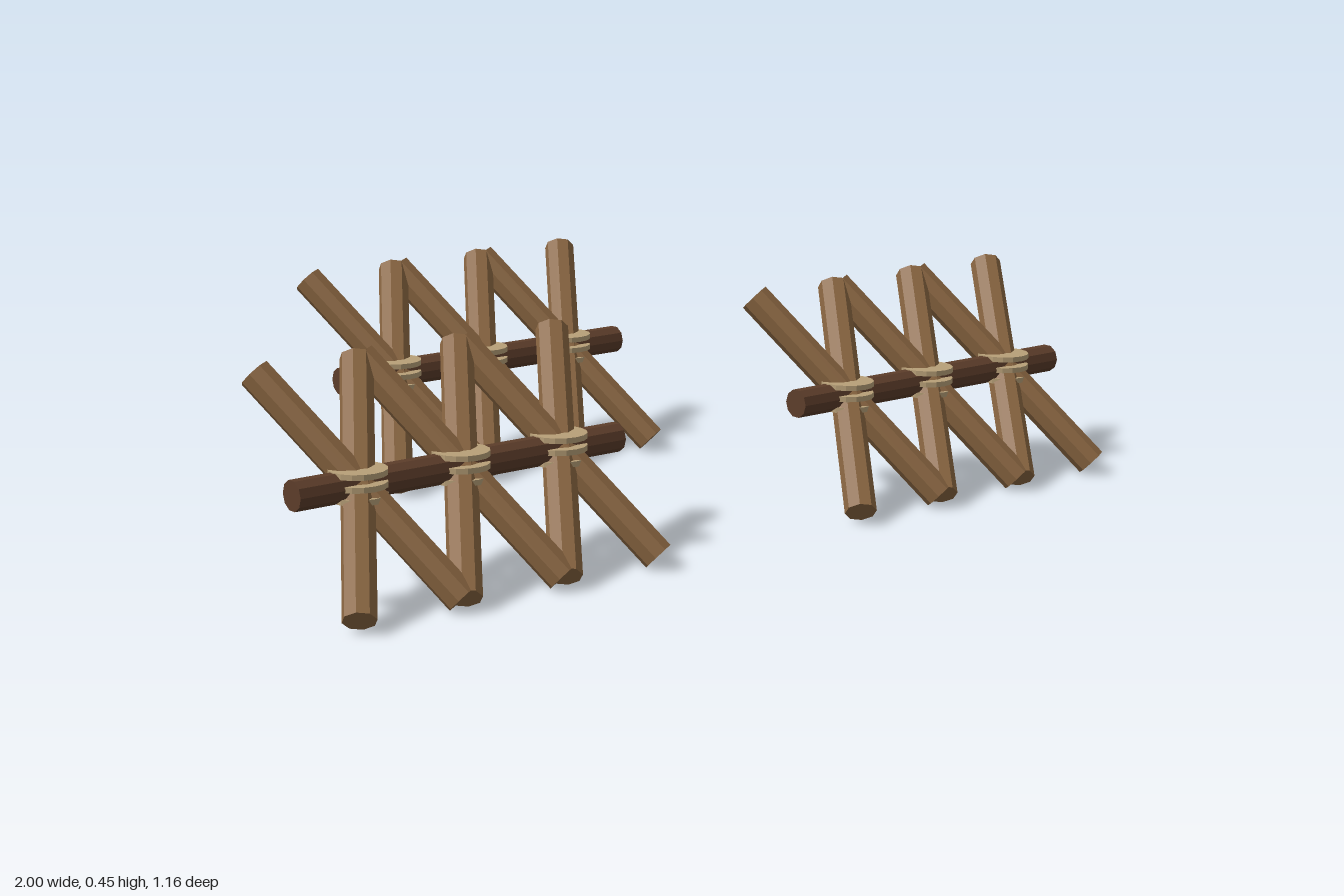
import * as THREE from 'three';

const wood = new THREE.MeshStandardMaterial({ color: 0x8b6742, flatShading: true });
const darkWood = new THREE.MeshStandardMaterial({ color: 0x5c3d2a, flatShading: true });
const rope = new THREE.MeshStandardMaterial({ color: 0xb8a078, flatShading: true });
const UP = new THREE.Vector3(0, 1, 0);

// Straight log centred on the origin, reaching from -half to +half
function log(name, half, radius, sides, material) {
  const mesh = new THREE.Mesh(new THREE.CylinderGeometry(radius, radius, half.length() * 2, sides), material);
  mesh.quaternion.setFromUnitVectors(UP, half.clone().normalize());
  mesh.name = name;
  return mesh;
}

// Two crossed logs leaning back, bound with three flat rope turns
function crossedPair() {
  const pair = new THREE.Group();
  pair.name = 'crossedPair';
  for (const side of [-1, 1]) {
    pair.add(log('leaningLog', new THREE.Vector3(side * 0.114, 0.2, -0.168), 0.033, 8, wood));
  }
  for (const y of [-0.024, 0, 0.024]) {
    const turn = new THREE.Mesh(new THREE.CylinderGeometry(0.057, 0.057, 0.011, 16), rope);
    turn.position.set(0, y + 0.004, 0);
    turn.name = 'ropeTurn';
    pair.add(turn);
  }
  return pair;
}

// One barricade: a horizontal beam through three crossed pairs
function barricade() {
  const group = new THREE.Group();
  group.name = 'barricade';
  const beam = log('beam', new THREE.Vector3(0.38, 0, 0), 0.03, 10, darkWood);
  beam.position.y = 0.003;
  group.add(beam);
  for (const x of [-0.235, 0, 0.235]) {
    const pair = crossedPair();
    pair.position.x = x;
    group.add(pair);
  }
  return group;
}

export function createModel() {
  const model = new THREE.Group();
  model.name = 'barricades';
  for (const [x, z] of [[-0.62, 0.386], [0.62, 0.386], [0, -0.386]]) {
    const b = barricade();
    b.position.set(x, 0.224, z);
    model.add(b);
  }
  return model;
}
